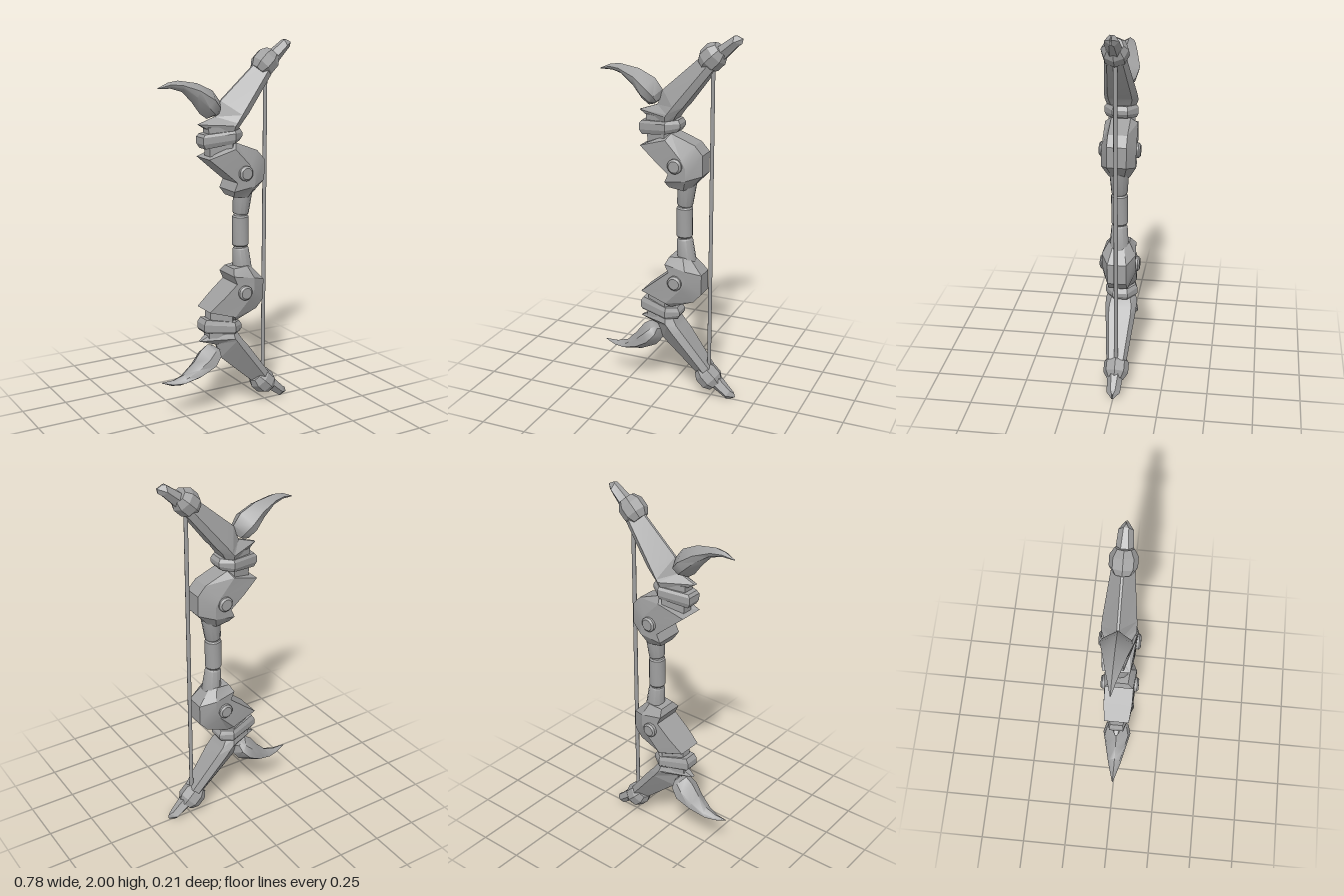
import * as THREE from 'three';
import { toCreasedNormals } from 'three/addons/utils/BufferGeometryUtils.js';

const grey = new THREE.MeshStandardMaterial({ color: 0xa0a0a0 });
grey.name = 'grey metal';

function add(parent, name, geometry) {
  const mesh = new THREE.Mesh(geometry, grey);
  mesh.name = name;
  parent.add(mesh);
  return mesh;
}

// Skins cross-sections; each is half an outline of [x, y, z] points, mirrored in z.
function loft(stations, crease = 0.2) {
  const rings = stations.map((half) => [
    ...half,
    ...half.slice().reverse().filter((p) => p[2] !== 0).map(([x, y, z]) => [x, y, -z]),
  ]);
  const n = rings[0].length;
  const index = [];
  for (let i = 0; i < rings.length - 1; i++) {
    for (let j = 0; j < n; j++) {
      const a = i * n + j, b = i * n + (j + 1) % n;
      index.push(a, b, b + n, a, b + n, a + n);
    }
  }
  const last = (rings.length - 1) * n;
  for (let j = 1; j < n - 1; j++) {
    index.push(0, j + 1, j, last, last + j, last + j + 1);
  }
  const geometry = new THREE.BufferGeometry();
  geometry.setAttribute('position', new THREE.Float32BufferAttribute(rings.flat(2), 3));
  geometry.setIndex(index);
  geometry.translate(0, -1, 0);
  return toCreasedNormals(geometry, crease);
}

// Turned part with sharp edges between its steps.
function turned(profile, sides, crease) {
  const points = profile.map(([r, y]) => new THREE.Vector2(r, y));
  return toCreasedNormals(new THREE.LatheGeometry(points, sides), crease);
}

// One limb of the bow, built upward from the middle of the grip.
function createLimb(name) {
  const limb = new THREE.Group();
  limb.name = name;

  // Grip end, leaning slightly outward
  const gripEnd = add(limb, 'gripEnd', turned(
    [[0, -0.06], [0.038, -0.06], [0.043, -0.052], [0.052, 0.07], [0, 0.07]], 12, 0.6));
  gripEnd.position.set(0.095, 0.15, 0);
  gripEnd.rotation.z = -0.1;

  // Curved joint housing
  add(limb, 'jointHousing', loft([
    [[0.02, 1.195, 0.05], [0.10, 1.187, 0.055], [0.135, 1.197, 0.03]],
    [[0.005, 1.23, 0.08], [0.125, 1.25, 0.09], [0.205, 1.275, 0.05]],
    [[0.025, 1.275, 0.08], [0.125, 1.315, 0.09], [0.205, 1.385, 0.05]],
    [[-0.055, 1.342, 0.08], [0.10, 1.36, 0.09], [0.16, 1.435, 0.05]],
    [[-0.137, 1.41, 0.07], [0.01, 1.455, 0.085], [0.03, 1.485, 0.05]],
  ], 0.35));

  // Pivot pin with rounded ends
  const pin = add(limb, 'pivotPin', turned(
    [[0, -0.107], [0.03, -0.107], [0.04, -0.098], [0.04, 0.098], [0.03, 0.107], [0, 0.107]], 14, 0.6));
  pin.rotation.x = Math.PI / 2;
  pin.position.set(0.068, 0.325, 0);

  // Neck and raised collar
  add(limb, 'neck', loft([
    [[-0.11, 1.40, 0.03], [0.0, 1.44, 0.07], [0.035, 1.44, 0.03]],
    [[-0.12, 1.57, 0.03], [0.0, 1.57, 0.07], [0.04, 1.57, 0.03]],
  ]));
  add(limb, 'collar', loft([
    [[-0.14, 1.46, 0.035], [0.01, 1.485, 0.078], [0.06, 1.492, 0.035]],
    [[-0.155, 1.485, 0.04], [0.01, 1.505, 0.088], [0.075, 1.515, 0.04]],
    [[-0.155, 1.52, 0.04], [0.01, 1.537, 0.088], [0.075, 1.535, 0.04]],
    [[-0.143, 1.535, 0.035], [0.01, 1.55, 0.078], [0.063, 1.555, 0.035]],
  ]));

  // Long tapering arm with a ridge on its outer edge
  add(limb, 'arm', loft([
    [[-0.115, 1.557, 0.02], [0.005, 1.545, 0.075], [0.04, 1.55, 0.05]],
    [[-0.165, 1.585, 0.008], [0.01, 1.577, 0.087], [0.065, 1.59, 0.06]],
    [[-0.065, 1.62, 0.006], [0.02, 1.59, 0.087], [0.075, 1.602, 0.06]],
    [[-0.035, 1.70, 0.006], [0.05, 1.63, 0.084], [0.1, 1.63, 0.06]],
    [[0.18, 1.89, 0.006], [0.225, 1.85, 0.055], [0.25, 1.825, 0.04]],
  ]));

  // Faceted knuckle where the string is tied
  const knuckle = add(limb, 'knuckle', turned(
    [[0, -0.062], [0.046, -0.062], [0.068, -0.027], [0.068, 0.027], [0.046, 0.062], [0, 0.062]], 8, 0.2));
  knuckle.position.set(0.234, 0.885, 0);
  knuckle.rotation.z = -0.8;

  // Pointed tip
  add(limb, 'tip', loft([
    [[0.235, 1.92, 0.02], [0.255, 1.89, 0.045], [0.285, 1.865, 0.02]],
    [[0.345, 1.998, 0.012], [0.35, 1.97, 0.036], [0.365, 1.947, 0.012]],
    [[0.36, 2.0, 0.003], [0.391, 1.985, 0.003], [0.385, 1.96, 0.003]],
  ]));

  // Curved horn: each row is lower edge, upper edge and half width
  const horn = [
    [-0.085, 1.62, -0.045, 1.65, 0.035],
    [-0.115, 1.612, -0.038, 1.70, 0.065],
    [-0.155, 1.64, -0.08, 1.755, 0.08],
    [-0.2, 1.70, -0.17, 1.797, 0.06],
    [-0.255, 1.757, -0.28, 1.815, 0.037],
    [-0.32, 1.777, -0.335, 1.807, 0.02],
    [-0.39, 1.778, -0.392, 1.782, 0.002],
  ];
  add(limb, 'horn', loft(horn.map(([lx, ly, ux, uy, w]) => [[0, 0], [0.3, 0.85], [0.65, 1], [1, 0]].map(
    ([t, k]) => [lx + (ux - lx) * t, ly + (uy - ly) * t, w * k])), 0.75));

  return limb;
}

export function createModel() {
  const bow = new THREE.Group();
  bow.name = 'bow';

  // Upper limb, and the same limb turned over for the lower one
  const upper = createLimb('upperLimb');
  const lower = createLimb('lowerLimb');
  lower.rotation.x = Math.PI;
  for (const limb of [upper, lower]) {
    limb.position.y = 1;
    bow.add(limb);
  }

  // Middle of the grip with bevelled ends
  add(bow, 'grip', turned(
    [[0, -0.085], [0.038, -0.085], [0.044, -0.077], [0.044, 0.077], [0.038, 0.085], [0, 0.085]], 12, 0.6,
  )).position.set(0.088, 1, 0);

  // Bowstring
  add(bow, 'string', new THREE.CylinderGeometry(0.011, 0.011, 1.68, 8)).position.set(0.237, 1, 0);

  return bow;
}
